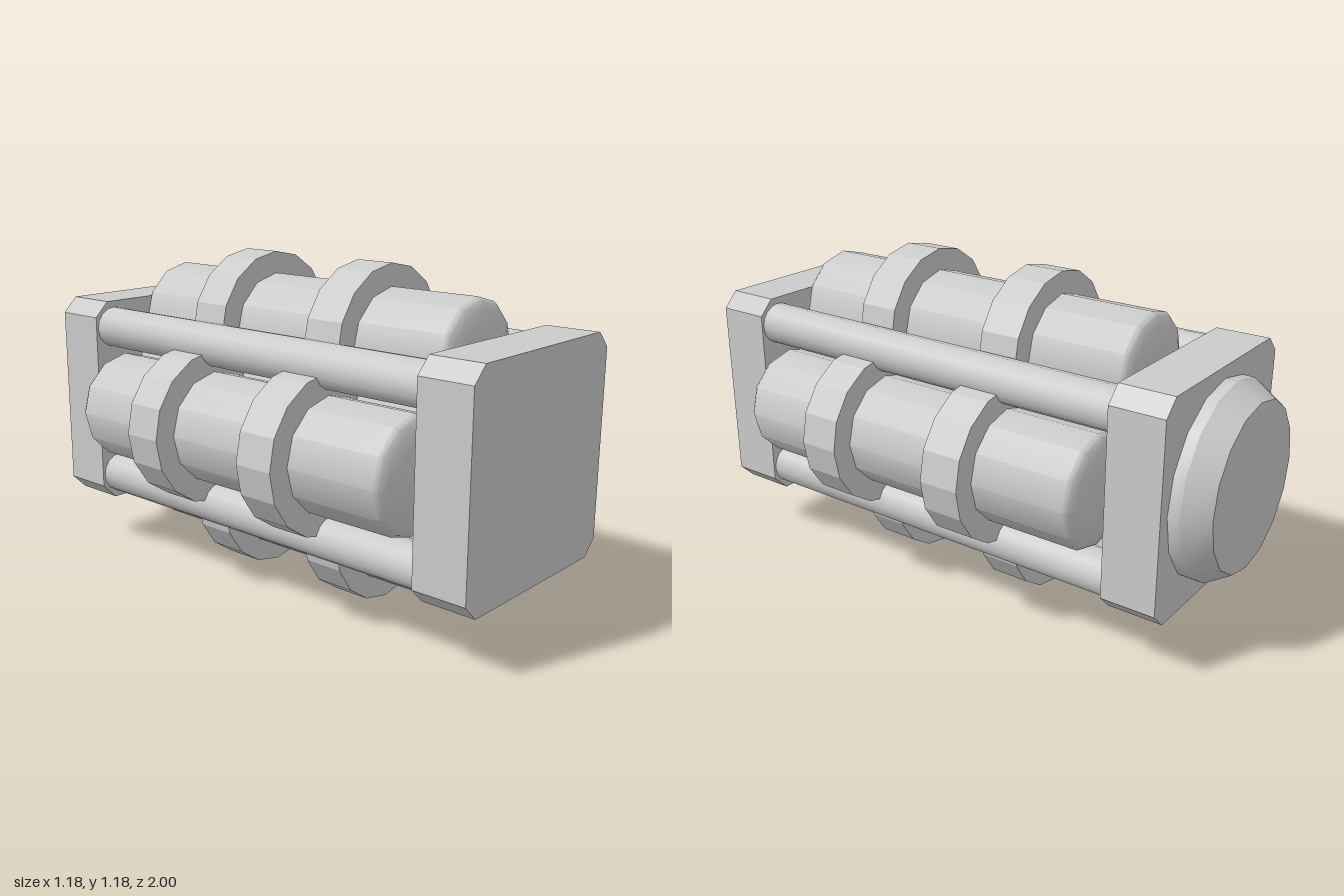
import * as THREE from 'three';
import { toCreasedNormals } from 'three/addons/utils/BufferGeometryUtils.js';

const material = new THREE.MeshStandardMaterial({ color: 0xcccccc });
const CY = 0.59;      // height of the long axis
const ORBIT = 0.315;  // distance of the tanks from that axis

function add(parent, name, geometry, x = 0, y = 0, z = 0, crease = 0.6) {
  const mesh = new THREE.Mesh(toCreasedNormals(geometry, crease), material);
  mesh.name = name;
  mesh.position.set(x, y, z);
  parent.add(mesh);
  return mesh;
}

// Cylinder lying along z between z0 and z1
function rod(radius, z0, z1, sides, turn = 0) {
  return new THREE.CylinderGeometry(radius, radius, z1 - z0, sides)
    .rotateY(turn).rotateX(Math.PI / 2).translate(0, 0, (z0 + z1) / 2);
}

// Square plate with cut corners
function plate(z0, z1) {
  const h = 0.386, c = h - 0.055;
  const outline = [[c, -h], [h, -c], [h, c], [c, h], [-c, h], [-h, c], [-h, -c], [-c, -h]];
  const shape = new THREE.Shape(outline.map(([x, y]) => new THREE.Vector2(x, y)));
  return new THREE.ExtrudeGeometry(shape, { depth: z1 - z0, bevelEnabled: false }).translate(0, 0, z0);
}

// Closed tank with shallow domed ends
function tank() {
  const r = 0.197, cap = 0.045, z0 = -0.605, z1 = 0.745, steps = 5;
  const points = [];
  for (let i = 0; i <= steps; i++) {
    const a = (i / steps) * Math.PI / 2;
    points.push(new THREE.Vector2(r * Math.sin(a), z0 - cap * Math.cos(a)));
  }
  for (let i = steps; i >= 0; i--) {
    const a = (i / steps) * Math.PI / 2;
    points.push(new THREE.Vector2(r * Math.sin(a), z1 + cap * Math.cos(a)));
  }
  return new THREE.LatheGeometry(points, 12).rotateX(Math.PI / 2);
}

export function createModel() {
  const model = new THREE.Group();
  model.name = 'tankModule';
  const body = new THREE.Group();
  body.name = 'body';
  body.position.y = CY;
  model.add(body);

  // End plates and the core between them
  add(body, 'frontPlate', plate(0.805, 1));
  add(body, 'backPlate', plate(-0.875, -0.68));
  add(body, 'core', rod(0.24, -0.69, 0.815, 8), 0, 0, 0, 0.3);

  // Tapered rear cap
  const capProfile = [[0, -1], [0.29, -1], [0.343, -0.915], [0.343, -0.87], [0, -0.87]]
    .map(([r, z]) => new THREE.Vector2(r, z));
  add(body, 'rearCap', new THREE.LatheGeometry(capProfile, 16).rotateX(Math.PI / 2), 0, 0, 0, 0.5);

  // Corner rods
  for (const sx of [-1, 1]) for (const sy of [-1, 1])
    add(body, 'cornerRod', rod(0.075, -0.69, 0.815, 16), sx * 0.303, sy * 0.288);

  // Four tanks, each held by two bands
  for (let i = 0; i < 4; i++) {
    const unit = new THREE.Group();
    unit.name = 'tankUnit';
    unit.position.set(ORBIT * Math.cos(i * Math.PI / 2), ORBIT * Math.sin(i * Math.PI / 2), 0);
    body.add(unit);
    add(unit, 'tank', tank());
    for (const z of [-0.262, 0.265]) add(unit, 'band', rod(0.275, z, z + 0.146, 16), 0, 0, 0, 0.3);
  }
  return model;
}
